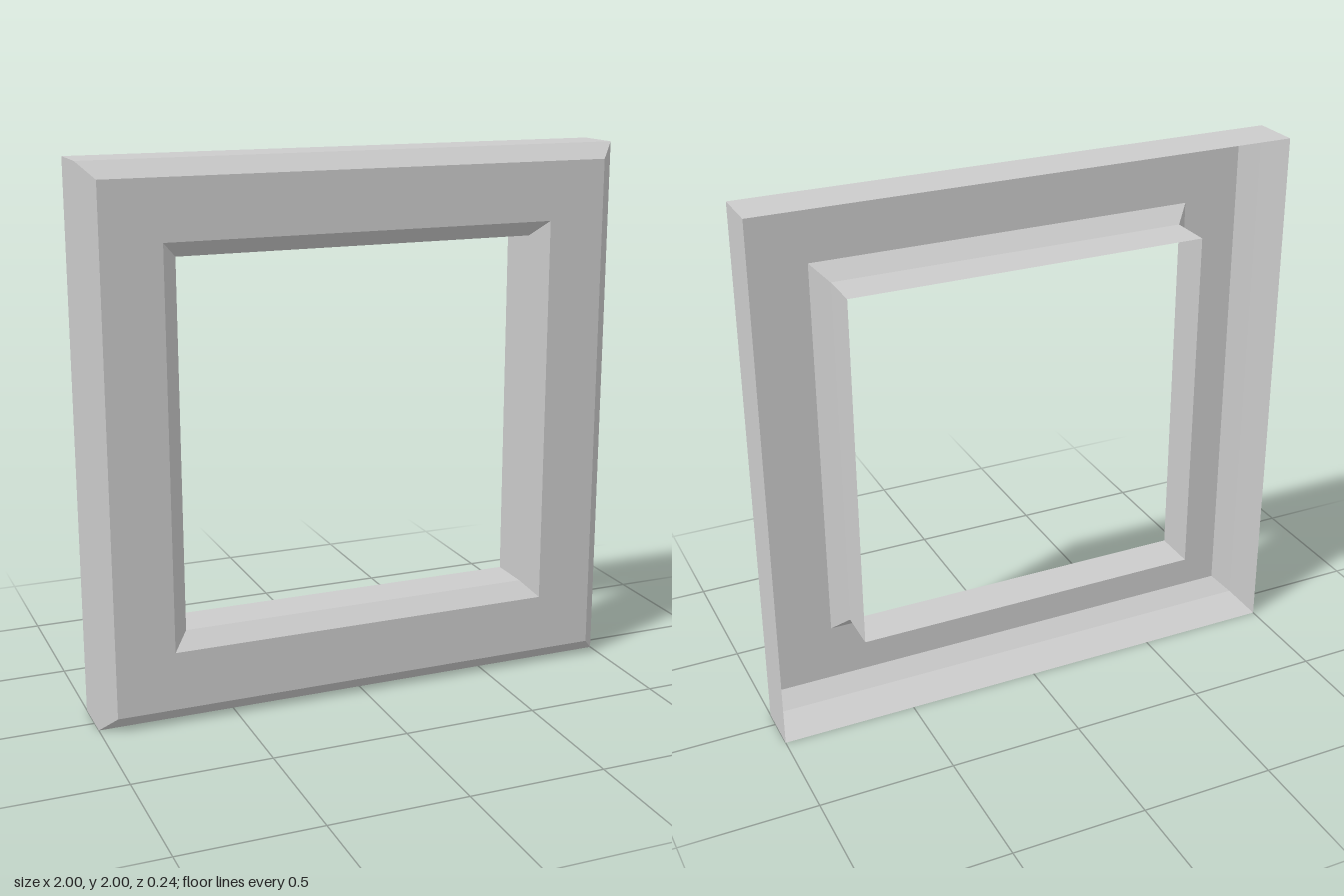
import * as THREE from 'three';

// Square ring swept from a [half-width, z] profile, open at the back
function squareRing(profile) {
  const points = profile.map(([half, z]) => new THREE.Vector2(half * Math.SQRT2, z));
  const geometry = new THREE.LatheGeometry(points, 4, Math.PI / 4).toNonIndexed();
  geometry.rotateX(Math.PI / 2);
  geometry.computeVertexNormals();
  return geometry;
}

export function createModel() {
  const group = new THREE.Group();
  group.name = 'squareFrame';
  const material = new THREE.MeshStandardMaterial({
    color: 0xcccccc, flatShading: true, side: THREE.DoubleSide,
  });

  const parts = {
    outerWall: [[1, -0.12], [1, 0.063]],
    outerBevel: [[1, 0.063], [0.943, 0.12]],
    frontFace: [[0.943, 0.12], [0.727, 0.12]],
    innerBevel: [[0.727, 0.12], [0.67, 0.063]],
    // The opening's wall stops slightly short of the outer wall's back edge
    innerWall: [[0.67, 0.063], [0.67, -0.1]],
  };

  for (const [name, profile] of Object.entries(parts)) {
    const mesh = new THREE.Mesh(squareRing(profile), material);
    mesh.name = name;
    mesh.position.y = 1;
    group.add(mesh);
  }
  return group;
}
